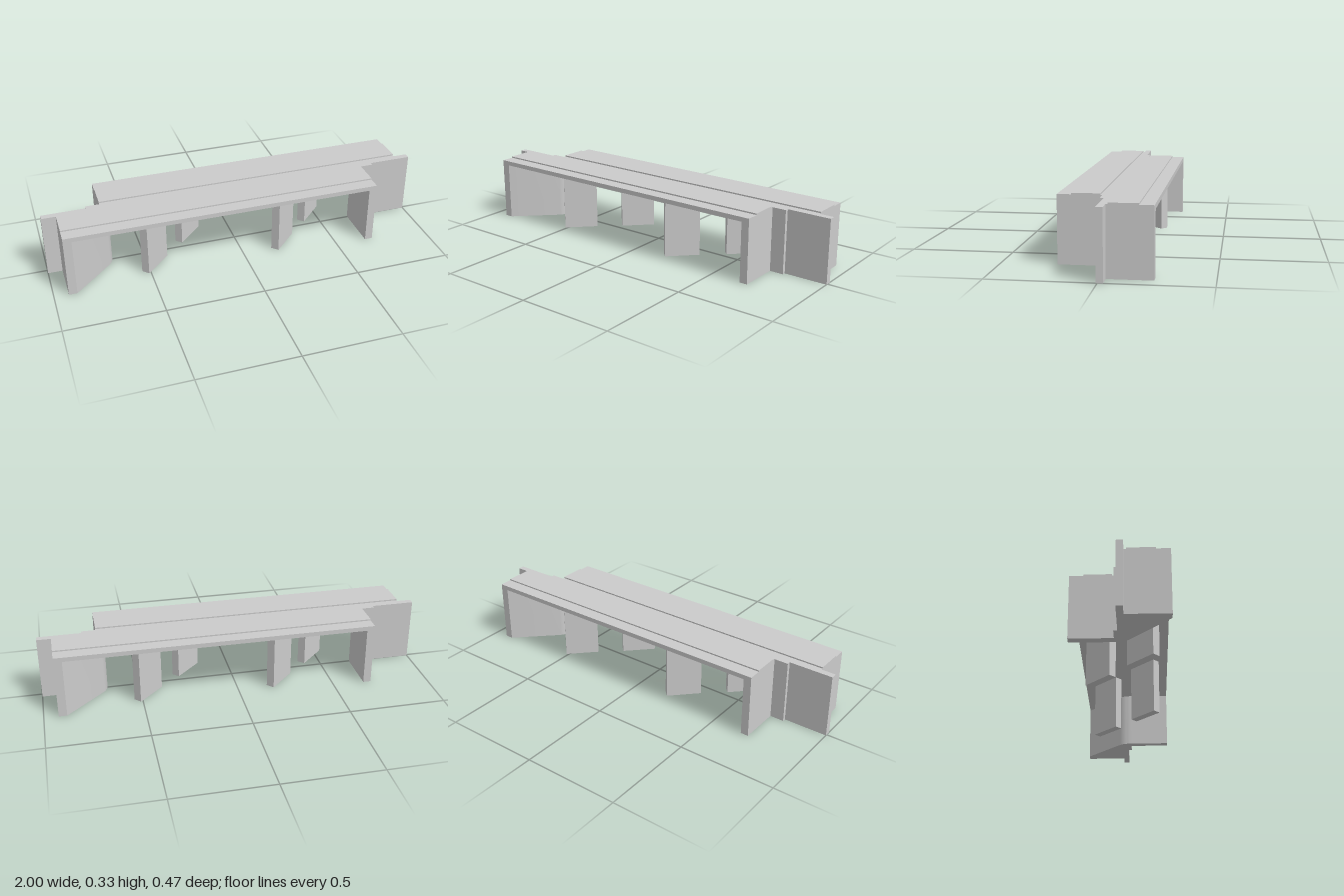
import * as THREE from 'three';
import { toCreasedNormals } from 'three/addons/utils/BufferGeometryUtils.js';

const material = new THREE.MeshStandardMaterial({ color: 0xcccccc });
const HALF_DEPTH = 0.235, DECK_BOTTOM = 0.304, DECK_TOP = 0.327, STRIP_TOP = 0.334;

function addMesh(parent, name, geometry) {
  const mesh = new THREE.Mesh(geometry, material);
  mesh.name = name;
  parent.add(mesh);
  return mesh;
}

// Extrudes a plan outline of [x, z] points upward from y0 to y1
function extrudePlan(points, y0, y1) {
  const shape = new THREE.Shape(points.map(([x, z]) => new THREE.Vector2(x, -z)));
  const geometry = new THREE.ExtrudeGeometry(shape, { depth: y1 - y0, bevelEnabled: false });
  geometry.rotateX(-Math.PI / 2).translate(0, y0, 0);
  return toCreasedNormals(geometry, 0.5);
}

// Outer edge of one end, front to back, including the stepped connecting tab
const endEdge = [
  [-0.927, HALF_DEPTH], [-0.927, 0.025], [-1, 0.025], [-1, -0.007],
  [-0.775, -0.007], [-0.775, -0.025], [-0.703, -0.025], [-0.703, -HALF_DEPTH],
];

// Inner edge of an abutment, back to front: straight, rounded corner, then splayed
const corner = new THREE.QuadraticBezierCurve(
  new THREE.Vector2(-0.663, -0.025), new THREE.Vector2(-0.663, 0.022), new THREE.Vector2(-0.69, 0.048));
const innerEdge = [
  [-0.663, -HALF_DEPTH], ...corner.getPoints(8).map(p => [p.x, p.y]), [-0.885, HALF_DEPTH],
];

export function createModel() {
  const model = new THREE.Group();
  model.name = 'bridgeSection';

  // Deck slab: the same end edge turned half a circle closes the outline
  const outline = [...endEdge, ...endEdge.map(([x, z]) => [-x, -z])];
  addMesh(model, 'deck', extrudePlan(outline, DECK_BOTTOM, DECK_TOP));

  // Everything else repeats after a half turn about the vertical axis
  for (const [i, side] of ['right', 'left'].entries()) {
    const half = new THREE.Group();
    half.name = side + 'Half';
    half.rotation.y = i * Math.PI;
    model.add(half);

    addMesh(half, side + 'Abutment', extrudePlan([...endEdge, ...innerEdge], 0, DECK_BOTTOM));

    // Raised lane strip along the deck
    const strip = addMesh(half, side + 'LaneStrip',
      new THREE.BoxGeometry(1.63, STRIP_TOP - DECK_BOTTOM - 0.01, 0.134));
    strip.position.set(-0.112, (STRIP_TOP + DECK_BOTTOM + 0.01) / 2, 0.102);

    // Diagonal support piers
    for (const [name, x, z] of [['outerPier', -0.463, 0.105], ['innerPier', -0.233, -0.11]]) {
      const pier = addMesh(half, name, new THREE.BoxGeometry(0.177, DECK_BOTTOM, 0.042));
      pier.position.set(x, DECK_BOTTOM / 2, z);
      pier.rotation.y = Math.PI / 4;
    }
  }
  return model;
}
